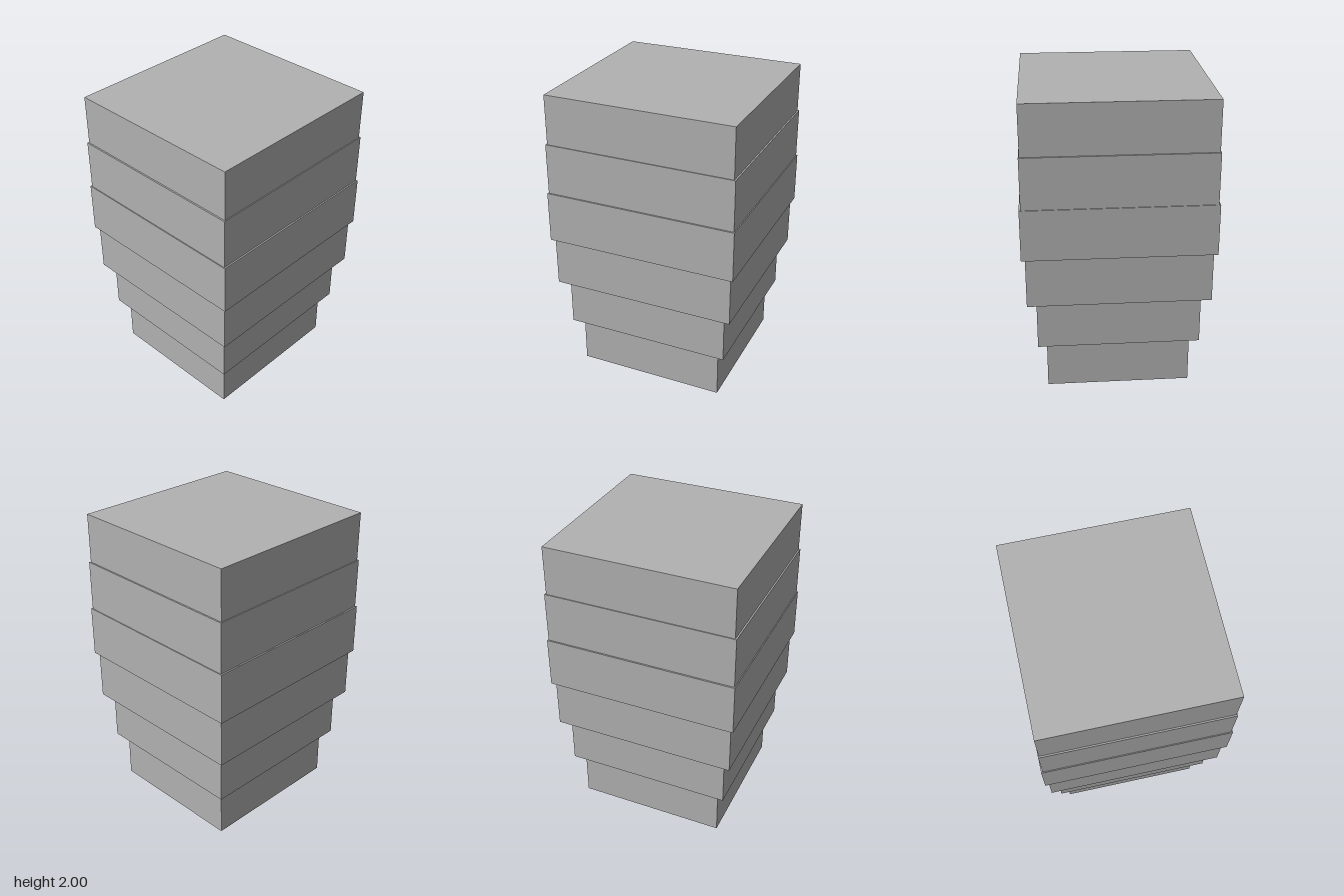
import * as THREE from 'three';

export function createModel() {
  const group = new THREE.Group();
  group.name = 'steppedTower';
  const grey = new THREE.MeshStandardMaterial({ color: 0xb2b2b2 });
  grey.name = 'plain grey';

  // Stacked slabs from the ground up: bottom y, top y, width, depth
  const tiers = [
    [0, 0.333, 0.948, 1.002],
    [0.333, 0.667, 1.064, 1.118],
    [0.667, 1.0, 1.184, 1.232],
    [1.0, 1.338, 1.232, 1.276],
    [1.338, 1.673, 1.212, 1.264],
    [1.673, 2, 1.2, 1.244],
  ];
  tiers.forEach(([bottom, top, width, depth], i) => {
    const slab = new THREE.Mesh(new THREE.BoxGeometry(width, top - bottom, depth), grey);
    slab.name = `tier${i + 1}`;
    slab.position.y = (bottom + top) / 2;
    group.add(slab);
  });
  return group;
}
